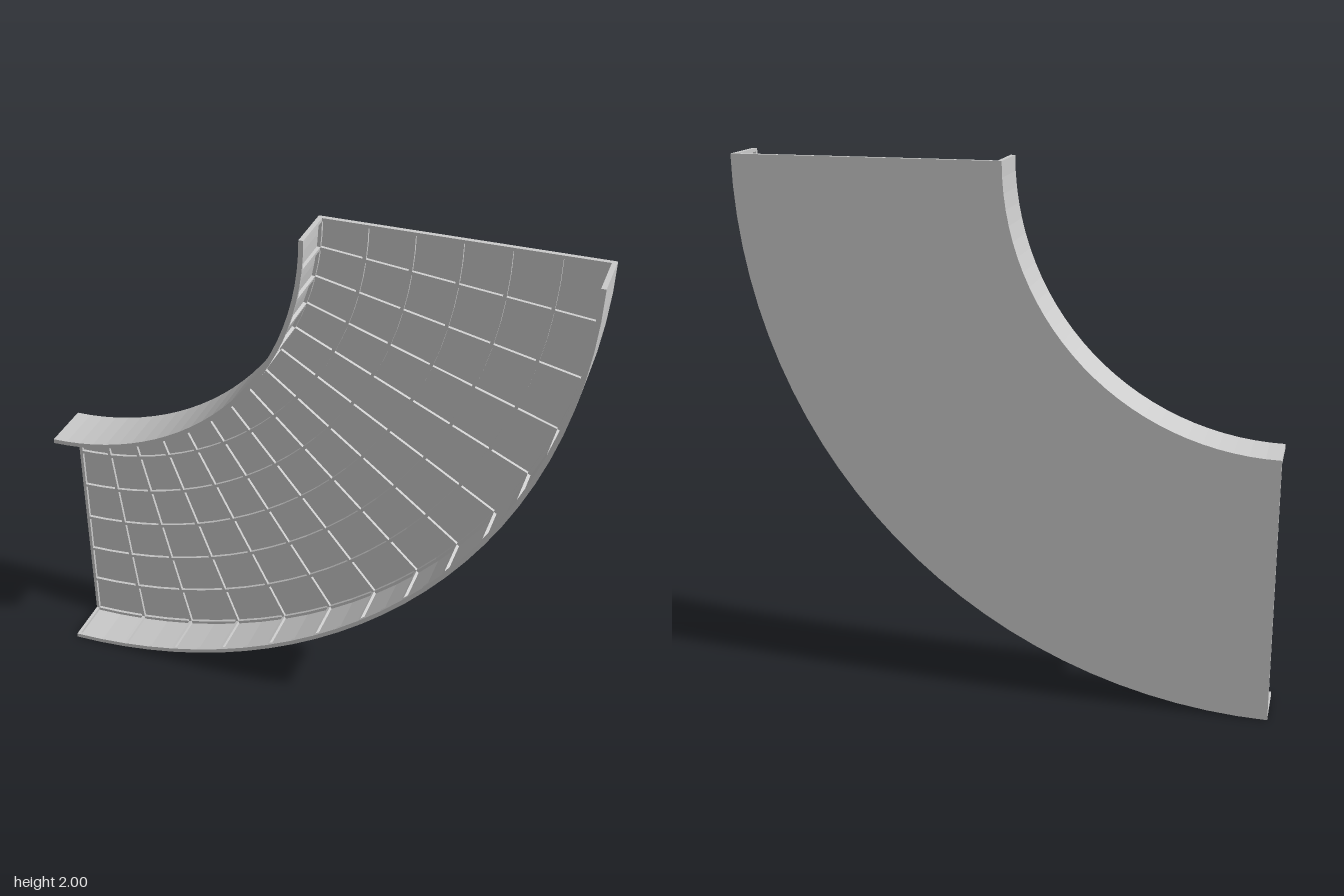
import * as THREE from 'three';

const INNER = 1, OUTER = 2;      // bend radii
const BACK = -0.1, FRONT = 0.1;  // channel depth
const SHEET = 0.005, RIB = 0.012;
const BAYS = 14, LANES = 6;

export function createModel() {
  const model = new THREE.Group();
  const material = new THREE.MeshStandardMaterial({ color: 0xcccccc });

  // Everything is built around the centre of the bend
  const bend = new THREE.Group();
  bend.name = 'channelBend';
  bend.position.set(-1, 2, 0);
  model.add(bend);

  const add = (name, geometry, parent = bend) => {
    const mesh = new THREE.Mesh(geometry, material);
    mesh.name = name;
    parent.add(mesh);
    return mesh;
  };

  // Quarter ring between two radii and two depths
  const sector = (name, r0, r1, z0, z1) => {
    const shape = new THREE.Shape();
    shape.absarc(0, 0, r1, -Math.PI / 2, 0, false);
    shape.absarc(0, 0, r0, 0, -Math.PI / 2, true);
    const geometry = new THREE.ExtrudeGeometry(shape, {
      depth: z1 - z0, bevelEnabled: false, curveSegments: BAYS,
    });
    geometry.translate(0, 0, z0);
    return add(name, geometry);
  };

  // Sheet channel: back plate with two curved walls
  sector('backPlate', INNER, OUTER, BACK, BACK + SHEET);
  sector('innerWall', INNER, INNER + SHEET, BACK, FRONT);
  sector('outerWall', OUTER - SHEET, OUTER, BACK, FRONT);

  // Curved ribs on the plate, running along the bend
  const floor = BACK + SHEET, ribTop = floor + RIB;
  const first = INNER + SHEET, last = OUTER - SHEET - RIB;
  for (let i = 0; i <= LANES; i++) {
    const r = first + (last - first) * i / LANES;
    sector('curvedRib', r, r + RIB, floor, ribTop);
  }

  // Rim ribs along the front edges of the walls
  sector('innerRim', first, first + RIB, FRONT - RIB, FRONT);
  sector('outerRim', last, last + RIB, FRONT - RIB, FRONT);

  // U-shaped frames crossing the plate and climbing both walls
  const mid = (INNER + OUTER) / 2, height = FRONT - floor;
  for (let k = 0; k <= BAYS; k++) {
    const frame = new THREE.Group();
    frame.name = 'crossFrame';
    frame.rotation.z = -Math.PI / 2 * (1 - k / BAYS);
    bend.add(frame);
    // End frames sit just inside the cut ends
    const shift = k === 0 ? RIB / 2 : k === BAYS ? -RIB / 2 : 0;
    add('radialRib', new THREE.BoxGeometry(OUTER - INNER - 2 * SHEET, RIB, RIB), frame)
      .position.set(mid, shift, floor + RIB / 2);
    for (const r of [first + RIB / 2, last + RIB / 2]) {
      add('wallRib', new THREE.BoxGeometry(RIB, RIB, height), frame)
        .position.set(r, shift, floor + height / 2);
    }
  }

  return model;
}
